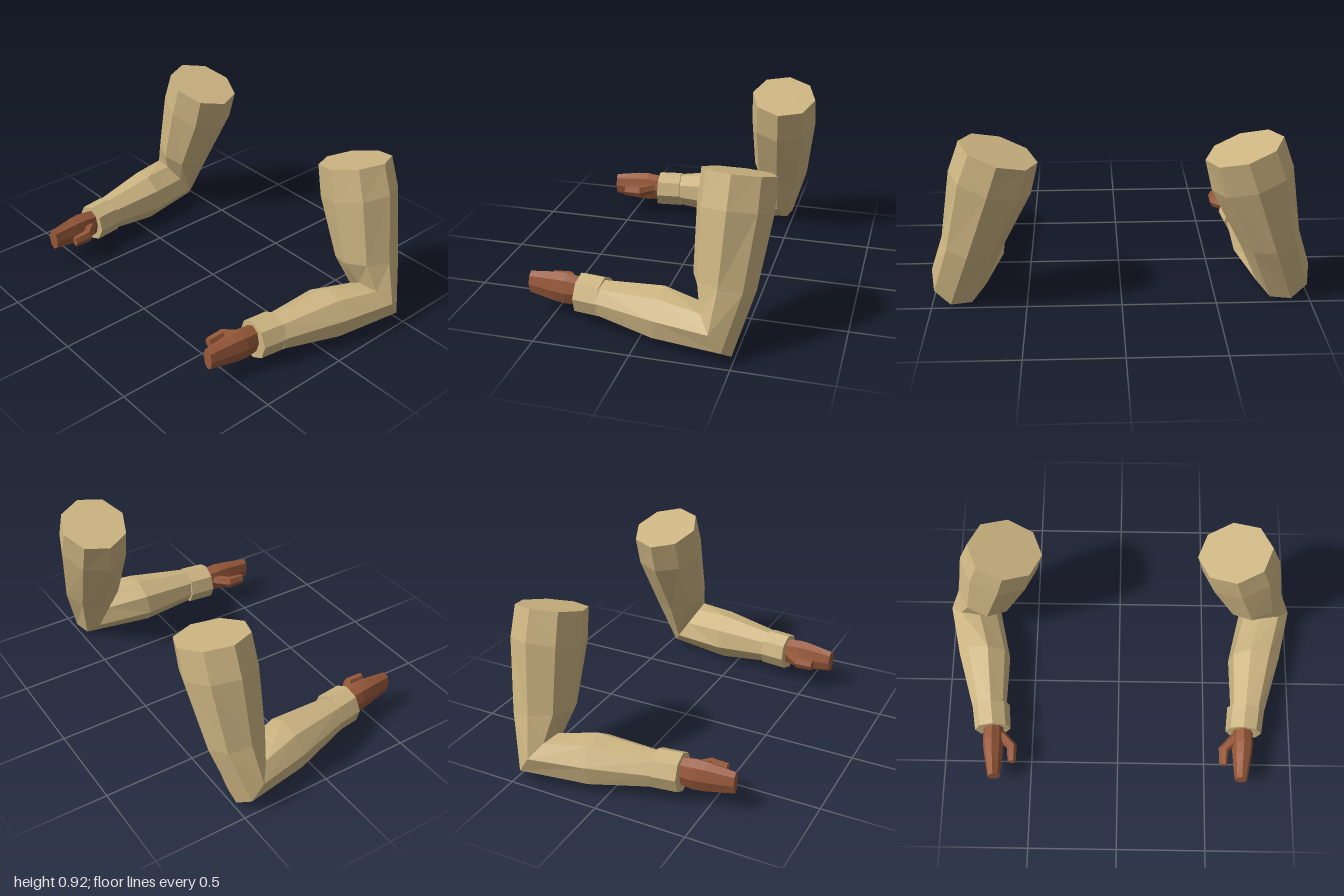
import * as THREE from 'three';

const tan = new THREE.MeshStandardMaterial({ name: 'sleeveTan', color: 0xcdb582 });
const brown = new THREE.MeshStandardMaterial({ name: 'skinBrown', color: 0x98593a });

// Loft through elliptical rings [centre, outward half-axis, upward half-axis], capped at both ends.
// side = 1 builds the left (+x) part, side = -1 its mirror image.
function loft(name, material, rings, sides, side) {
  const points = rings.map(([c, u, v]) =>
    Array.from({ length: sides }, (_, k) => {
      const a = (k / sides) * Math.PI * 2;
      const p = c.map((n, i) => n + Math.cos(a) * u[i] + Math.sin(a) * v[i]);
      return [p[0] * side, p[1], p[2]];
    }));
  const out = [];
  const tri = (a, b, c) => out.push(...a, ...(side > 0 ? [...b, ...c] : [...c, ...b]));
  for (let i = 0; i < points.length - 1; i++) {
    for (let k = 0; k < sides; k++) {
      const n = (k + 1) % sides;
      tri(points[i][k], points[i][n], points[i + 1][n]);
      tri(points[i][k], points[i + 1][n], points[i + 1][k]);
    }
  }
  const first = points[0], last = points[points.length - 1];
  for (let k = 1; k < sides - 1; k++) {
    tri(first[0], first[k + 1], first[k]);
    tri(last[0], last[k], last[k + 1]);
  }
  const geometry = new THREE.BufferGeometry();
  geometry.setAttribute('position', new THREE.Float32BufferAttribute(out, 3));
  geometry.computeVertexNormals(); // unshared corners give flat facets
  const mesh = new THREE.Mesh(geometry, material);
  mesh.name = name;
  return mesh;
}

// Shoulder, upper arm, above elbow, elbow crease, forearm, wrist
const sleeve = [
  [[0.615, 0.86, -0.445], [0.195, 0.06, 0], [0.005, 0.01, 0.185]],
  [[0.665, 0.695, -0.44], [0.205, 0.065, 0], [0, 0.005, 0.19]],
  [[0.775, 0.35, -0.418], [0.155, 0.035, 0], [-0.015, 0.02, 0.16]],
  [[0.86, 0.132, -0.402], [0.14, 0.043, 0.012], [-0.04, 0.117, 0.083]],
  [[0.79, 0.14, -0.1], [0.145, 0.03, 0], [-0.03, 0.137, -0.015]],
  [[0.743, 0.148, 0.22], [0.094, 0.018, 0.01], [-0.018, 0.096, 0]],
];

const cuff = [
  [[0.735, 0.152, 0.207], [0.105, 0.01, 0.012], [-0.01, 0.106, 0.004]],
  [[0.717, 0.152, 0.347], [0.101, 0.01, 0.008], [-0.01, 0.107, -0.004]],
];

const hand = [
  [[0.712, 0.158, 0.32], [0.056, 0, 0], [0, 0.076, 0]],
  [[0.71, 0.158, 0.42], [0.06, 0, 0], [0, 0.09, 0]],
  [[0.706, 0.159, 0.48], [0.055, 0, 0], [0, 0.087, 0]],
  [[0.695, 0.162, 0.625], [0.035, 0, 0.004], [0, 0.064, 0]],
];

const thumb = [
  [[0.67, 0.16, 0.385], [0.02, 0, 0.025], [0, 0.035, 0]],
  [[0.602, 0.16, 0.45], [0.028, 0, 0.01], [0, 0.037, 0]],
  [[0.599, 0.16, 0.54], [0.023, 0, 0], [0, 0.03, 0]],
];

export function createModel() {
  const model = new THREE.Group();
  model.name = 'armPair';
  for (const side of [1, -1]) {
    const arm = new THREE.Group();
    arm.name = side > 0 ? 'leftArm' : 'rightArm';
    arm.add(
      loft('sleeve', tan, sleeve, 8, side),
      loft('cuff', tan, cuff, 8, side),
      loft('hand', brown, hand, 8, side),
      loft('thumb', brown, thumb, 6, side),
    );
    model.add(arm);
  }
  return model;
}
